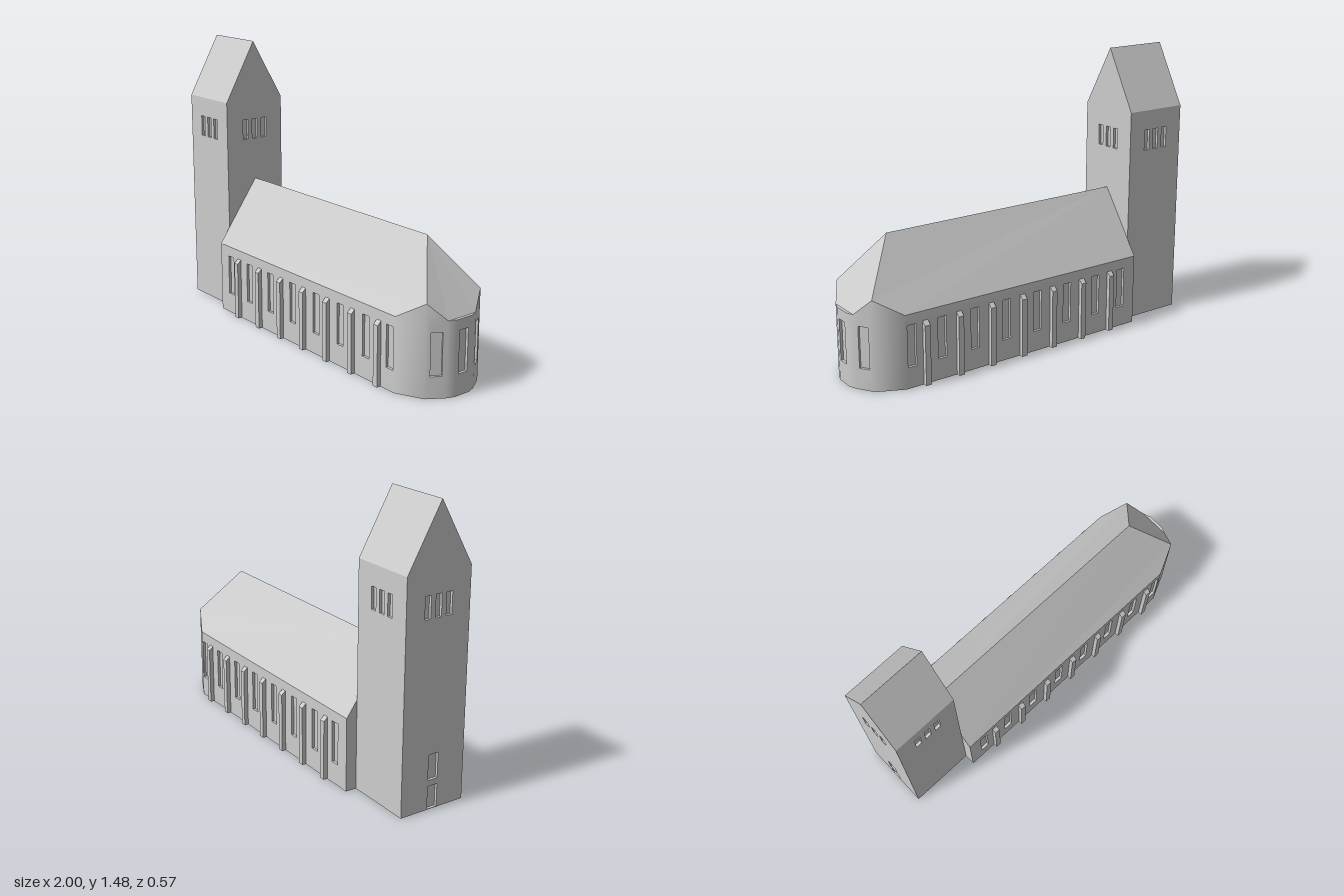
import * as THREE from 'three';
import { mergeGeometries, toCreasedNormals } from 'three/addons/utils/BufferGeometryUtils.js';

const stone = new THREE.MeshStandardMaterial({ color: 0xcccccc });
stone.name = 'pale stone';

const RECESS = 0.014;

// Five inner faces of a window niche, open towards +z
function niche(w, h) {
  const g = new THREE.BoxGeometry(w, h, RECESS);
  const idx = Array.from(g.index.array);
  idx.splice(24, 6); // leave out the front face
  g.setIndex(idx);
  g.scale(-1, 1, 1); // turn the faces inwards
  const open = g.toNonIndexed();
  open.computeVertexNormals();
  return open;
}

// Upright wall from a to b ([x, z] on the ground), facing right of the path seen from above.
// tops: outline of the upper edge as [distance along wall, y], from b back to a.
// windows: [centre along wall, bottom, top, width]
function wall(a, b, tops, windows = []) {
  const dx = b[0] - a[0], dz = b[1] - a[1], len = Math.hypot(dx, dz);
  const pts = [[0, 0], [len, 0], ...tops(len)].map(([s, y]) => new THREE.Vector2(s, y));
  const shape = new THREE.Shape(pts);
  const parts = [];
  for (const [f, y0, y1, w] of windows) {
    const s = f * len, l = s - w / 2, r = s + w / 2;
    shape.holes.push(new THREE.Path([[l, y0], [l, y1], [r, y1], [r, y0]].map(([x, y]) => new THREE.Vector2(x, y))));
    parts.push(niche(w, y1 - y0).translate(s, (y0 + y1) / 2, -RECESS / 2));
  }
  parts.push(new THREE.ShapeGeometry(shape).toNonIndexed());
  const g = mergeGeometries(parts);
  g.rotateY(-Math.atan2(dz, dx));
  return g.translate(a[0], 0, a[1]);
}

// Flat convex face from corners listed anticlockwise as seen from outside
function face(corners) {
  const pos = [];
  for (let i = 1; i < corners.length - 1; i++) pos.push(...corners[0], ...corners[i], ...corners[i + 1]);
  const g = new THREE.BufferGeometry();
  g.setAttribute('position', new THREE.Float32BufferAttribute(pos, 3));
  g.computeVertexNormals();
  return g;
}

// Copy of a face on the other side of the long axis
const mirrored = (corners) => corners.map(([x, y, z]) => [x, y, -z]).reverse();

function add(group, name, geometry) {
  const mesh = new THREE.Mesh(geometry, stone);
  mesh.name = name;
  group.add(mesh);
  return mesh;
}

function buildTower() {
  const tower = new THREE.Group();
  tower.name = 'tower';
  const x0 = -0.993, x1 = -0.64, w = 0.18, eave = 1.155, ridge = 1.475;
  const flat = (len) => [[len, eave], [0, eave]];
  const gable = (len) => [[len, eave], [len / 2, ridge], [0, eave]];
  const bells = (len) => [-1, 0, 1].map((i) => [0.5 + (i * 0.06) / len, 0.94, 1.05, 0.033]);
  const depth = x1 - x0;
  const entrance = [[0.5, 0.003, 0.12, 0.055], [0.5, 0.15, 0.28, 0.055]];

  add(tower, 'towerFrontWall', wall([x0, w], [x1, w], flat, bells(depth)));
  add(tower, 'towerInnerGable', wall([x1, w], [x1, -w], gable, bells(2 * w)));
  add(tower, 'towerBackWall', wall([x1, -w], [x0, -w], flat, bells(depth)));
  add(tower, 'towerEntranceGable', wall([x0, -w], [x0, w], gable, [...bells(2 * w), ...entrance]));

  const slope = [[x0, eave, w], [x1, eave, w], [x1, ridge, 0], [x0, ridge, 0]];
  add(tower, 'towerRoofFront', face(slope));
  add(tower, 'towerRoofBack', face(mirrored(slope)));
  add(tower, 'towerFloor', face([[x0, 0, -w], [x1, 0, -w], [x1, 0, w], [x0, 0, w]]));
  return tower;
}

function buildNave() {
  const nave = new THREE.Group();
  nave.name = 'nave';
  const x0 = -0.64, eave = 0.38, ridge = 0.715, w = 0.238;

  // Half of the ground outline as [x, z, wall height], from the tower to the apse
  const half = [[x0, w, eave], [0.791, w, eave], [0.928, 0.173, 0.465], [0.983, 0.087, eave], [0.998, 0.045, eave]];
  const outline = [...half, ...half.map(([x, z, y]) => [x, -z, y]).reverse()];

  // Windows of the long sides and of the apse
  const length = 0.791 - x0;
  const centres = [-0.544, -0.371, -0.18, 0.012, 0.204, 0.395, 0.586, 0.756];
  const sideWindows = centres.map((x) => [(x - x0) / length, 0.11, 0.325, 0.048]);
  const apseWindow = [[0.5, 0.11, 0.325, 0.055]];
  const windows = {
    0: sideWindows,
    2: apseWindow,
    4: apseWindow,
    6: apseWindow,
    8: sideWindows.map(([f, ...rest]) => [1 - f, ...rest]),
  };

  const walls = [];
  for (let i = 0; i < outline.length - 1; i++) {
    const a = outline[i], b = outline[i + 1];
    walls.push(wall(a, b, (len) => [[len, b[2]], [0, a[2]]], windows[i]));
  }
  add(nave, 'naveAndApseWalls', toCreasedNormals(mergeGeometries(walls), 0.7));
  add(nave, 'naveGable', wall([x0, -w], [x0, w], (len) => [[len, eave], [len / 2, ridge], [0, eave]]));

  // Hipped roof
  const peak = [0.742, ridge, 0];
  const up = ([x, z, y]) => [x, y, z];
  const slope = [up(half[0]), up(half[1]), up(half[2]), peak, [x0, ridge, 0]];
  add(nave, 'naveRoofFront', face(slope));
  add(nave, 'naveRoofBack', face(mirrored(slope)));
  add(nave, 'apseRoof', face([peak, ...outline.slice(2, 4).map(up), ...outline.slice(6, 8).map(up)]));
  add(nave, 'apseLedge', face(outline.slice(3, 7).map(up)));
  add(nave, 'naveFloor', face(outline.map(([x, z]) => [x, 0, z]).reverse()));

  // Buttresses with sloping tops
  const profile = new THREE.Shape([[0, 0], [0.022, 0], [0.022, 0.31], [0, 0.33]].map(([x, y]) => new THREE.Vector2(x, y)));
  const buttress = new THREE.ExtrudeGeometry(profile, { depth: 0.03, bevelEnabled: false });
  buttress.translate(0, 0, -0.015).rotateY(-Math.PI / 2);
  for (const side of [1, -1]) {
    for (let i = 0; i < 7; i++) {
      const mesh = add(nave, 'buttress', buttress);
      mesh.position.set(-0.466 + i * 0.191, 0, side * w);
      if (side < 0) mesh.rotation.y = Math.PI;
    }
  }
  return nave;
}

export function createModel() {
  const church = new THREE.Group();
  church.name = 'church';
  church.add(buildTower(), buildNave());
  church.rotation.y = 0.0425; // the long axis stands slightly askew
  const model = new THREE.Group();
  model.name = 'churchModel';
  model.add(church);
  return model;
}
